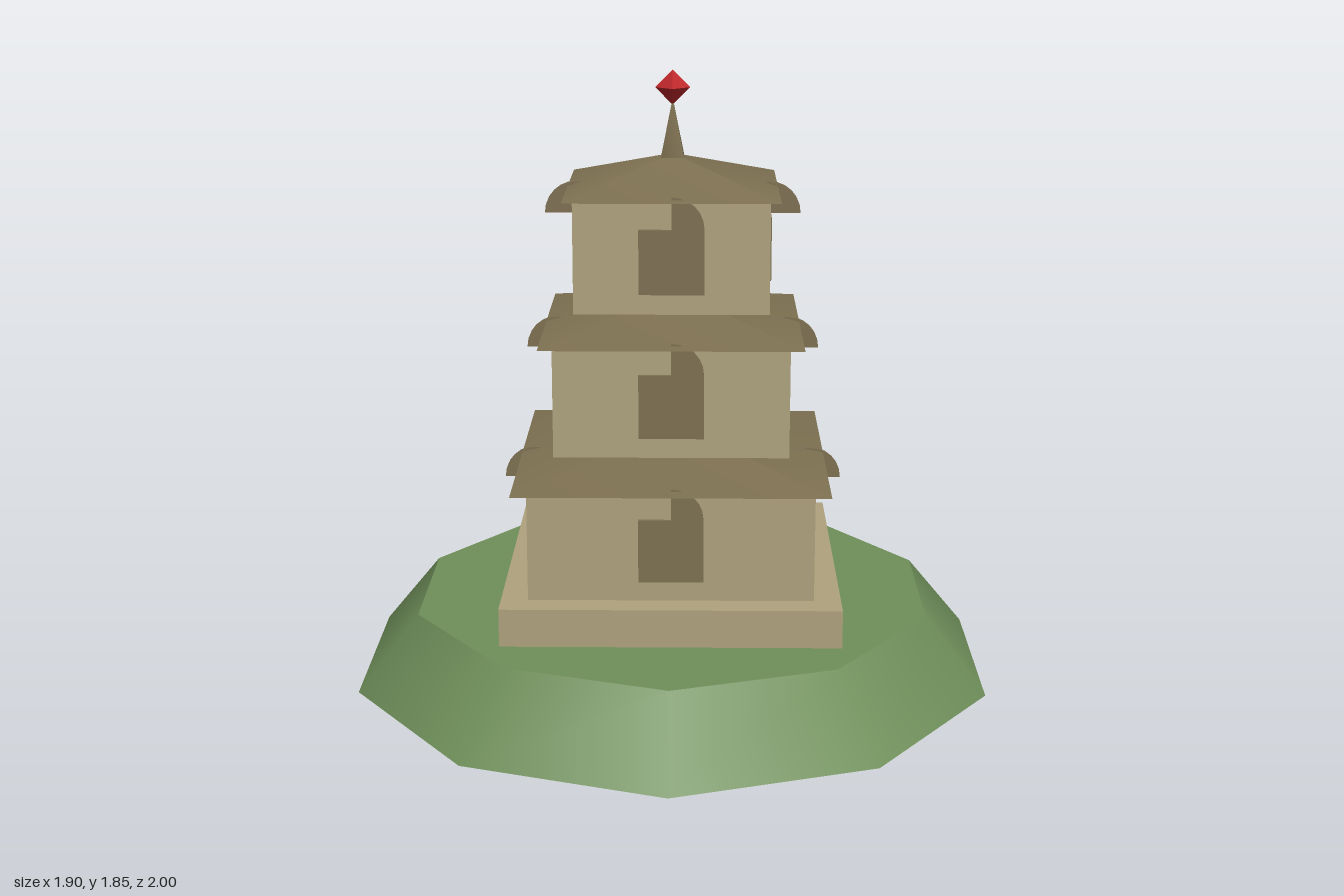
import * as THREE from 'three';

const grass = new THREE.MeshStandardMaterial({ color: 0x6f8f5a });
grass.name = 'grass';
const stone = new THREE.MeshStandardMaterial({ color: 0xafa27e });
stone.name = 'stone';
// double-sided because the half arches are open along their cut edge
const timber = new THREE.MeshStandardMaterial({ color: 0x7e7152, side: THREE.DoubleSide });
timber.name = 'timber';
const ruby = new THREE.MeshStandardMaterial({ color: 0xc1282b });
ruby.name = 'ruby';

function add(parent, name, geometry, material, x, y, z) {
  const mesh = new THREE.Mesh(geometry, material);
  mesh.name = name;
  mesh.position.set(x, y, z);
  parent.add(mesh);
  return mesh;
}

// four-sided pyramid with its sides square to the axes
function pyramid(half, height) {
  return new THREE.ConeGeometry(half * Math.SQRT2, height, 4).rotateY(Math.PI / 4);
}

// half disc lying in the xy plane; turn = 0 fills +x, turn = 90 degrees fills +y
function halfDisc(turn) {
  return new THREE.CylinderGeometry(0.095, 0.095, 0.012, 12, 1, false, 0, Math.PI)
    .rotateX(Math.PI / 2).rotateZ(turn);
}

// one storey: walls, a window with an arch on each side, and a roof
function createStorey(wall, eave, bottom, top) {
  const storey = new THREE.Group();
  const archY = top - 0.08;
  const windowY = archY - 0.095;
  add(storey, 'walls', new THREE.BoxGeometry(wall * 2, top - bottom, wall * 2), stone,
    0, (top + bottom) / 2, 0);
  add(storey, 'roof', pyramid(eave, 0.1), timber, 0, top + 0.05, 0);

  for (const side of [-1, 1]) {
    const d = side * (wall + 0.004);
    // front and back
    add(storey, 'window', new THREE.BoxGeometry(0.19, 0.19, 0.012), timber, 0, windowY, d);
    add(storey, 'arch', halfDisc(0), timber, 0, archY, d);
    // left and right, where the arch stands out from the wall as a fin
    add(storey, 'sideWindow', new THREE.BoxGeometry(0.012, 0.19, 0.19), timber, d, windowY, 0);
    add(storey, 'archFin', halfDisc(Math.PI / 2), timber, d, archY, 0);
  }
  return storey;
}

export function createModel() {
  const model = new THREE.Group();
  model.name = 'pagoda';

  // ground
  add(model, 'hill', new THREE.CylinderGeometry(0.81, 1, 0.23, 10), grass, 0, 0.115, 0);
  add(model, 'plinth', new THREE.BoxGeometry(1, 0.115, 1), stone, 0, 0.2875, 0);

  // storeys: wall half width, eave half width, bottom, top
  const storeys = [
    [0.42, 0.465, 0.345, 0.675],
    [0.345, 0.385, 0.76, 1.09],
    [0.285, 0.315, 1.175, 1.505],
  ];
  storeys.forEach((sizes, i) => {
    const storey = createStorey(...sizes);
    storey.name = 'storey' + (i + 1);
    model.add(storey);
  });

  // finial
  add(model, 'spire', pyramid(0.036, 0.185), timber, 0, 1.6775, 0);
  add(model, 'gem', new THREE.OctahedronGeometry(0.052), ruby, 0, 1.8, 0);
  return model;
}
